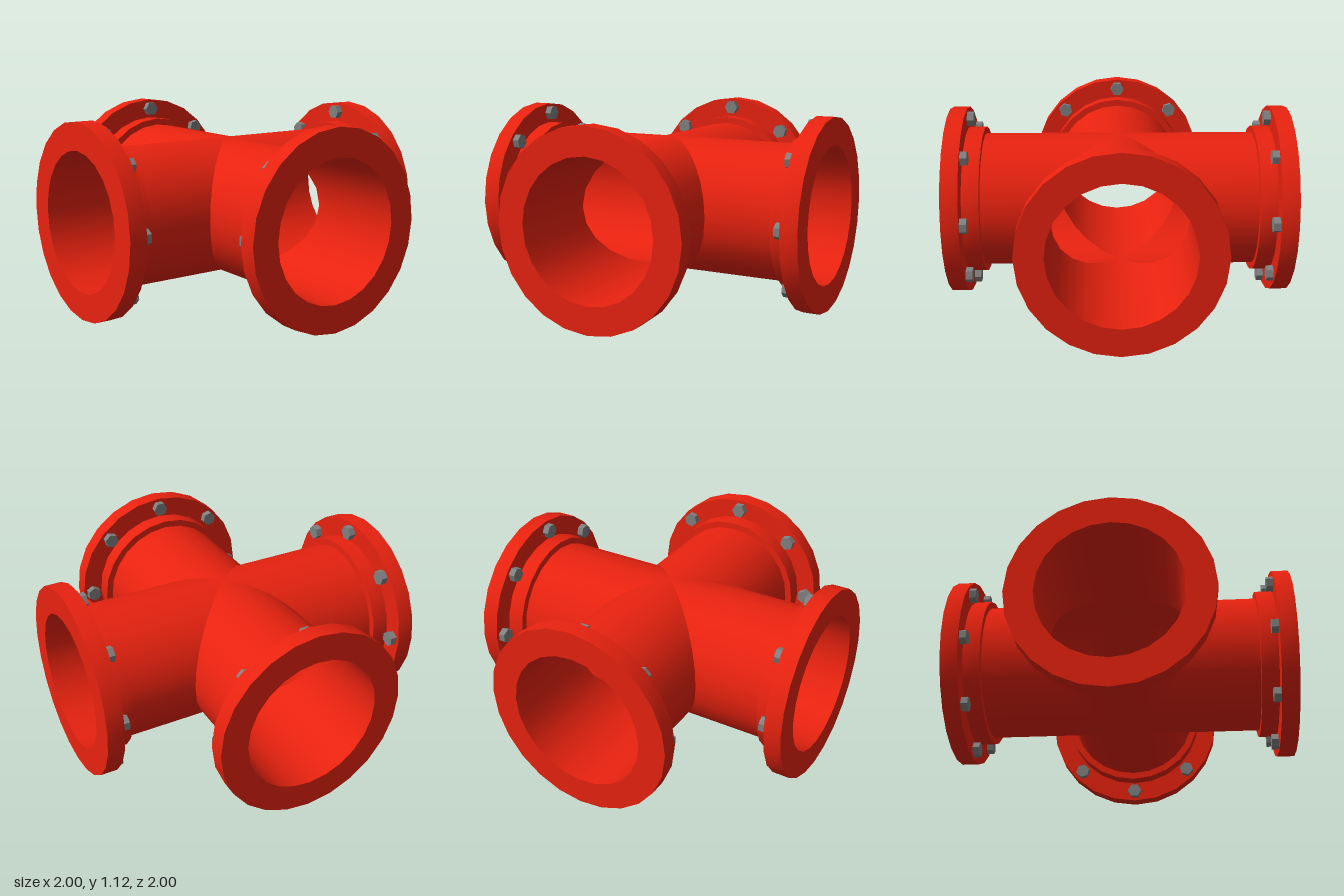
import * as THREE from 'three';
import { toCreasedNormals } from 'three/addons/utils/BufferGeometryUtils.js';

const SIDES = 24, BORE = 0.4, AXIS_Y = 0.56;
const BOLTS = 8, BOLT_CIRCLE = 0.5;

// Open tube along +z whose inner end is mitred to meet its neighbours
function armGeometry() {
  const geo = new THREE.CylinderGeometry(BORE, BORE, 1, SIDES, 1, true);
  geo.rotateX(Math.PI / 2);
  const pos = geo.attributes.position;
  for (let i = 0; i < pos.count; i++) {
    pos.setZ(i, pos.getZ(i) > 0 ? 1 : Math.abs(pos.getX(i)));
  }
  return geo;
}

// Collar and flange ring turned from one stepped profile
function flangeGeometry() {
  const profile = [
    [BORE, 0.8], [0.44, 0.8], [0.44, 0.9], [0.56, 0.9], [0.56, 1], [BORE, 1],
  ].map(([r, h]) => new THREE.Vector2(r, h));
  const geo = new THREE.LatheGeometry(profile, SIDES);
  geo.rotateX(Math.PI / 2);
  return toCreasedNormals(geo, 0.6);
}

// Hexagonal bolt head with its axis along z
function boltGeometry() {
  const geo = new THREE.CylinderGeometry(0.045, 0.045, 0.05, 6);
  geo.rotateX(Math.PI / 2);
  return geo;
}

export function createModel() {
  const red = new THREE.MeshStandardMaterial({ color: 0xe8220f });
  const redOpen = new THREE.MeshStandardMaterial({ color: 0xe8220f, side: THREE.DoubleSide });
  const steel = new THREE.MeshStandardMaterial({ color: 0x808080, flatShading: true });

  const armGeo = armGeometry();
  const flangeGeo = flangeGeometry();
  const boltGeo = boltGeometry();

  const model = new THREE.Group();
  model.name = 'pipeCross';

  const add = (parent, name, geo, mat) => {
    const mesh = new THREE.Mesh(geo, mat);
    mesh.name = name;
    parent.add(mesh);
    return mesh;
  };

  // Four identical branches around the vertical axis
  ['front', 'left', 'back', 'right'].forEach((side, k) => {
    const branch = new THREE.Group();
    branch.name = side + 'Branch';
    branch.position.y = AXIS_Y;
    branch.rotation.y = k * Math.PI / 2;
    add(branch, side + 'Pipe', armGeo, redOpen);
    add(branch, side + 'Flange', flangeGeo, red);

    // Ring of bolt heads on the rear face of the flange
    for (let i = 0; i < BOLTS; i++) {
      const a = (i / BOLTS) * Math.PI * 2;
      const bolt = add(branch, side + 'Bolt' + (i + 1), boltGeo, steel);
      bolt.position.set(BOLT_CIRCLE * Math.cos(a), BOLT_CIRCLE * Math.sin(a), 0.885);
      bolt.rotation.z = a;
    }
    model.add(branch);
  });

  return model;
}
